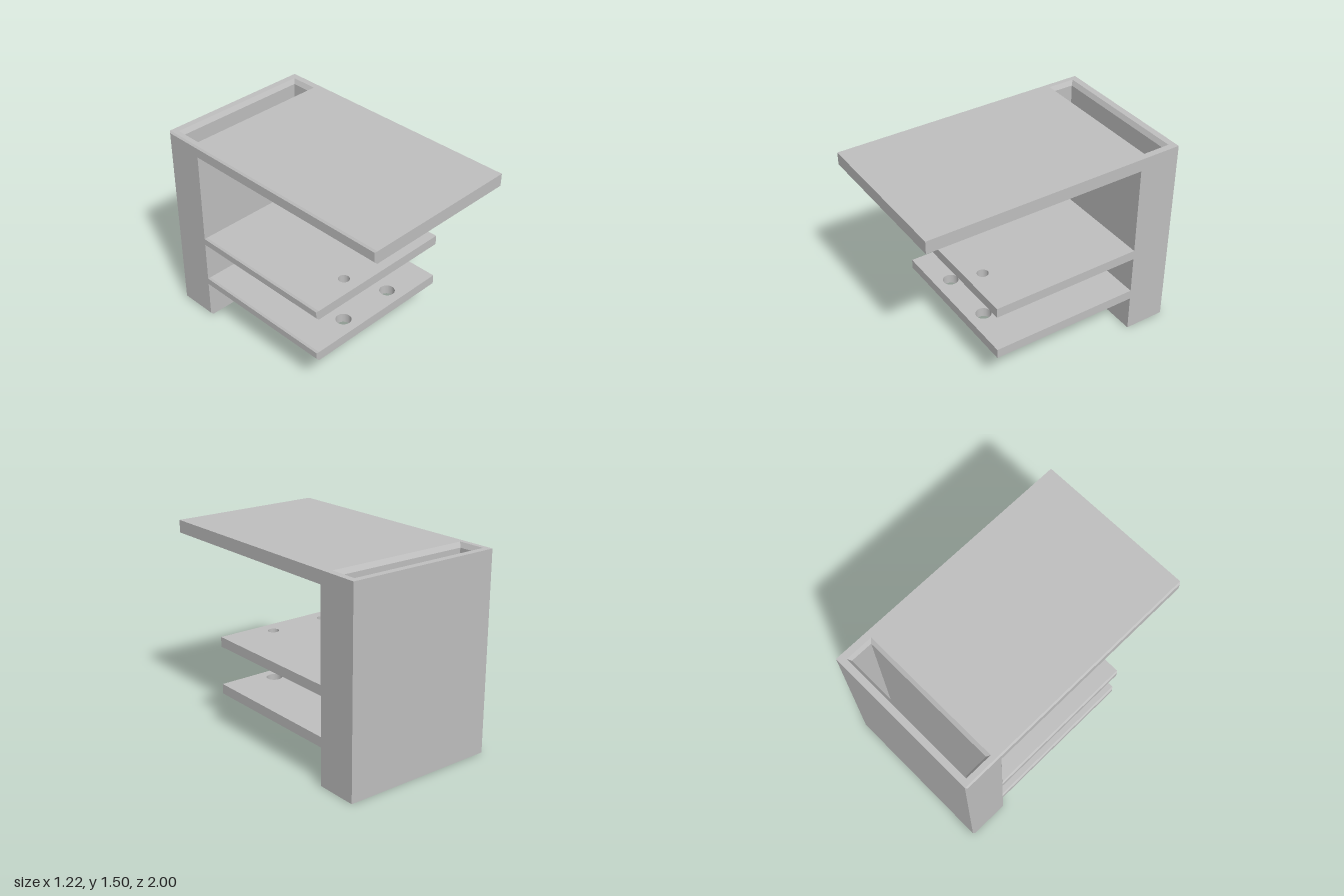
import * as THREE from 'three';
import { toCreasedNormals } from 'three/addons/utils/BufferGeometryUtils.js';

const SIDE = 0.61;        // half width
const BODY_X = -0.588;    // where the bevelled side slab takes over
const BACK = -1, WALL = -0.68, TOP = 1.505, PANEL = 1.41;
const SHELVES = [
  { name: 'lowerShelf', y0: 0.285, y1: 0.36, radius: 0.058 },
  { name: 'upperShelf', y0: 0.655, y1: 0.73, radius: 0.042 },
];
const SHELF_FRONT = 0.49;

// Rectangle in plan; shape y is -z
function plan(x0, x1, z0, z1, PathType = THREE.Shape) {
  const pts = [[x0, -z1], [x1, -z1], [x1, -z0], [x0, -z0]];
  return new PathType(pts.map(([x, y]) => new THREE.Vector2(x, y)));
}

// Extrude a plan shape upward from y0 to y1
function upright(shape, y0, y1, steps = 1) {
  const geo = new THREE.ExtrudeGeometry(shape, {
    depth: y1 - y0, steps, bevelEnabled: false, curveSegments: 32,
  });
  return geo.rotateX(-Math.PI / 2).translate(0, y0, 0);
}

export function createModel() {
  const group = new THREE.Group();
  const grey = new THREE.MeshStandardMaterial({ color: 0xbfbfbf });
  grey.name = 'plain grey';
  const add = (name, geo) => {
    const mesh = new THREE.Mesh(geo, grey);
    mesh.name = name;
    group.add(mesh);
  };

  // Hollow back column and its floor
  const column = plan(BODY_X, SIDE, BACK, WALL);
  column.holes.push(plan(-0.54, 0.54, -0.93, -0.76, THREE.Path));
  add('backColumn', upright(column, 0.07, PANEL));
  add('columnFloor', upright(plan(BODY_X, SIDE, BACK, WALL), 0, 0.07));

  // Top panel, with the slot flaring out at its upper rim
  const panel = plan(BODY_X, SIDE, BACK, 1);
  panel.holes.push(plan(-0.56, 0.56, -0.95, -0.737, THREE.Path));
  const panelGeo = upright(panel, PANEL, TOP, 2);
  const p = panelGeo.attributes.position;
  for (let i = 0; i < p.count; i++) {
    const x = p.getX(i), y = p.getY(i), z = p.getZ(i);
    if (y > TOP - 0.01) continue;
    if (y > PANEL + 0.01) p.setY(i, TOP - 0.035);
    if (Math.abs(x) < 0.57 && z > -0.96 && z < -0.7) {
      p.setX(i, Math.sign(x) * 0.54);
      p.setZ(i, z < -0.85 ? -0.93 : -0.76);
    }
  }
  panelGeo.computeVertexNormals();
  add('topPanel', panelGeo);

  // Shelves with a pair of round holes near the front
  for (const s of SHELVES) {
    const shape = plan(BODY_X, SIDE, WALL, SHELF_FRONT);
    for (const x of [-0.23, 0.23]) {
      shape.holes.push(new THREE.Path().absarc(x, -0.365, s.radius, 0, Math.PI * 2, true));
    }
    add(s.name, toCreasedNormals(upright(shape, s.y0, s.y1), 0.6));
  }

  // Ribs between the shelves
  for (const x of [-0.232, 0.23]) {
    const rib = new THREE.BoxGeometry(0.052, 0.295, 0.19);
    add('shelfRib', rib.translate(x, 0.5075, -0.585));
  }

  // Bevelled slab over the whole side profile (shape x is z)
  const outline = [[BACK, 0], [WALL, 0]];
  for (const s of SHELVES) {
    outline.push([WALL, s.y0], [SHELF_FRONT, s.y0], [SHELF_FRONT, s.y1], [WALL, s.y1]);
  }
  outline.push([WALL, PANEL], [1, PANEL], [1, TOP], [BACK, TOP]);
  const profile = new THREE.Shape(outline.map(([z, y]) => new THREE.Vector2(z, y)));
  const bevel = 0.012;
  const sideGeo = new THREE.ExtrudeGeometry(profile, {
    depth: 0.01, bevelEnabled: true, bevelSegments: 1,
    bevelSize: bevel, bevelThickness: bevel, bevelOffset: -bevel,
  });
  add('bevelledSide', sideGeo.rotateY(-Math.PI / 2).translate(BODY_X, 0, 0));

  return group;
}
